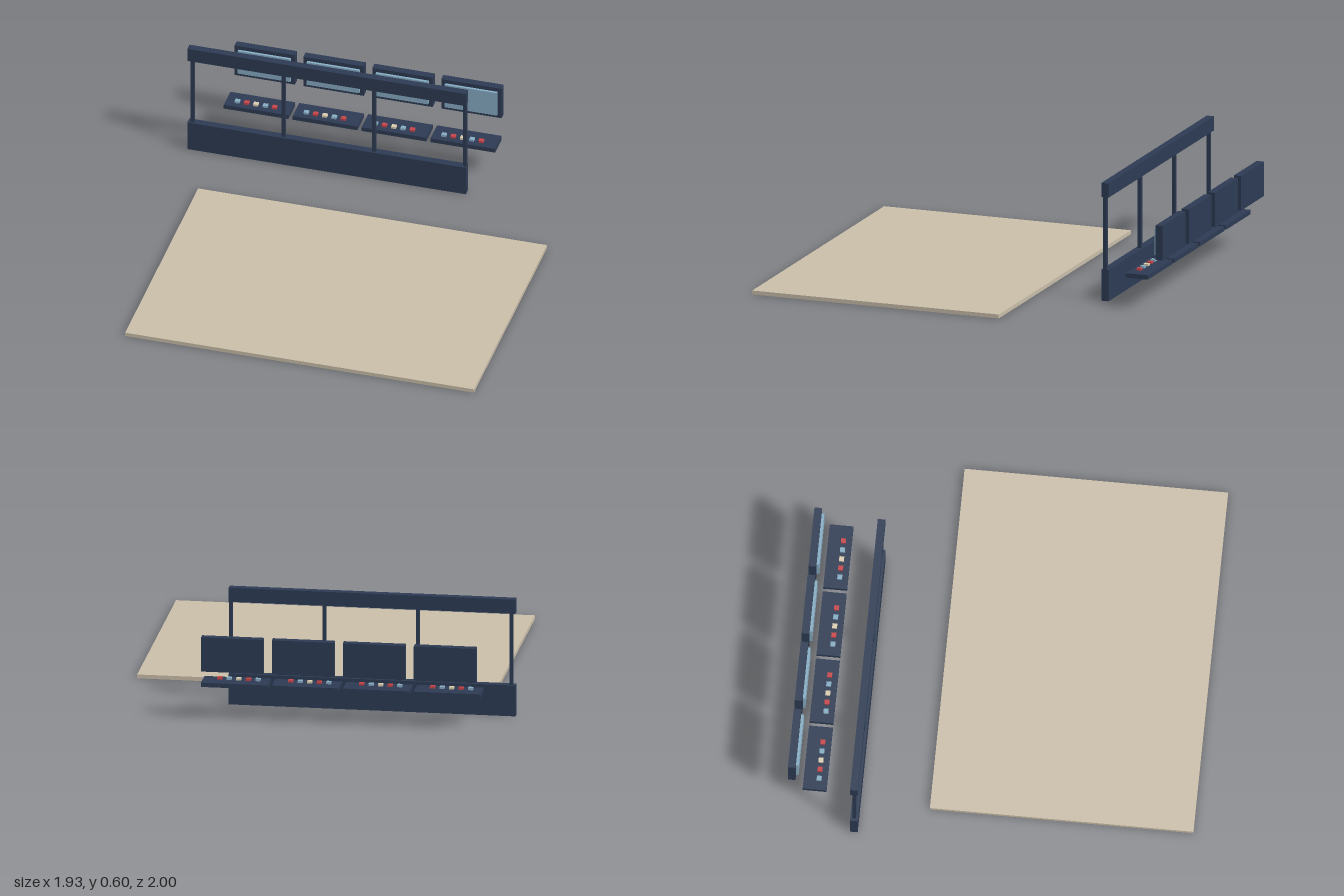
import * as THREE from 'three';

const material = (name, color) => {
  const m = new THREE.MeshStandardMaterial({ color });
  m.name = name;
  return m;
};

export function createModel() {
  const model = new THREE.Group();
  model.name = 'controlRoom';
  const navy = material('navy', 0x2d3b54);
  const sand = material('sand', 0xcbbfaa);
  const blue = material('screenBlue', 0x87adc4);
  const red = material('red', 0xc8454a);
  const cream = material('cream', 0xd9cdb0);

  // Box given by its lower and upper limits on each axis
  const box = (parent, name, mat, [x0, x1], [y0, y1], [z0, z1]) => {
    const mesh = new THREE.Mesh(new THREE.BoxGeometry(x1 - x0, y1 - y0, z1 - z0), mat);
    mesh.position.set((x0 + x1) / 2, (y0 + y1) / 2, (z0 + z1) / 2);
    mesh.name = name;
    parent.add(mesh);
  };

  // Floor slab
  box(model, 'floor', sand, [-0.815, 0.966], [0, 0.02], [-0.3, 1]);

  // Window wall: sill, header and mullions
  const wall = new THREE.Group();
  wall.name = 'windowWall';
  model.add(wall);
  box(wall, 'sill', navy, [-0.968, 0.455], [0, 0.158], [-0.679, -0.641]);
  box(wall, 'header', navy, [-0.968, 0.455], [0.525, 0.597], [-0.679, -0.641]);
  for (let i = 0; i < 4; i++) {
    const x = -0.945 + i * 0.4637;
    box(wall, 'mullion', navy, [x - 0.009, x + 0.009], [0.158, 0.525], [-0.669, -0.651]);
  }

  // Four workstations, each with a console, buttons and a monitor
  const buttonColours = [blue, red, cream, blue, red];
  for (let i = 0; i < 4; i++) {
    const station = new THREE.Group();
    station.name = 'workstation';
    station.position.x = -0.665 + i * 0.352;
    model.add(station);
    box(station, 'console', navy, [-0.165, 0.165], [0.157, 0.179], [-0.926, -0.808]);
    buttonColours.forEach((mat, k) => {
      const x = -0.107 + k * 0.0475;
      box(station, 'button', mat, [x - 0.012, x + 0.012], [0.179, 0.19], [-0.862, -0.838]);
    });
    box(station, 'monitorCase', navy, [-0.154, 0.154], [0.258, 0.433], [-1, -0.962]);
    box(station, 'monitorScreen', blue, [-0.134, 0.134], [0.278, 0.412], [-0.962, -0.949]);
  }
  return model;
}
